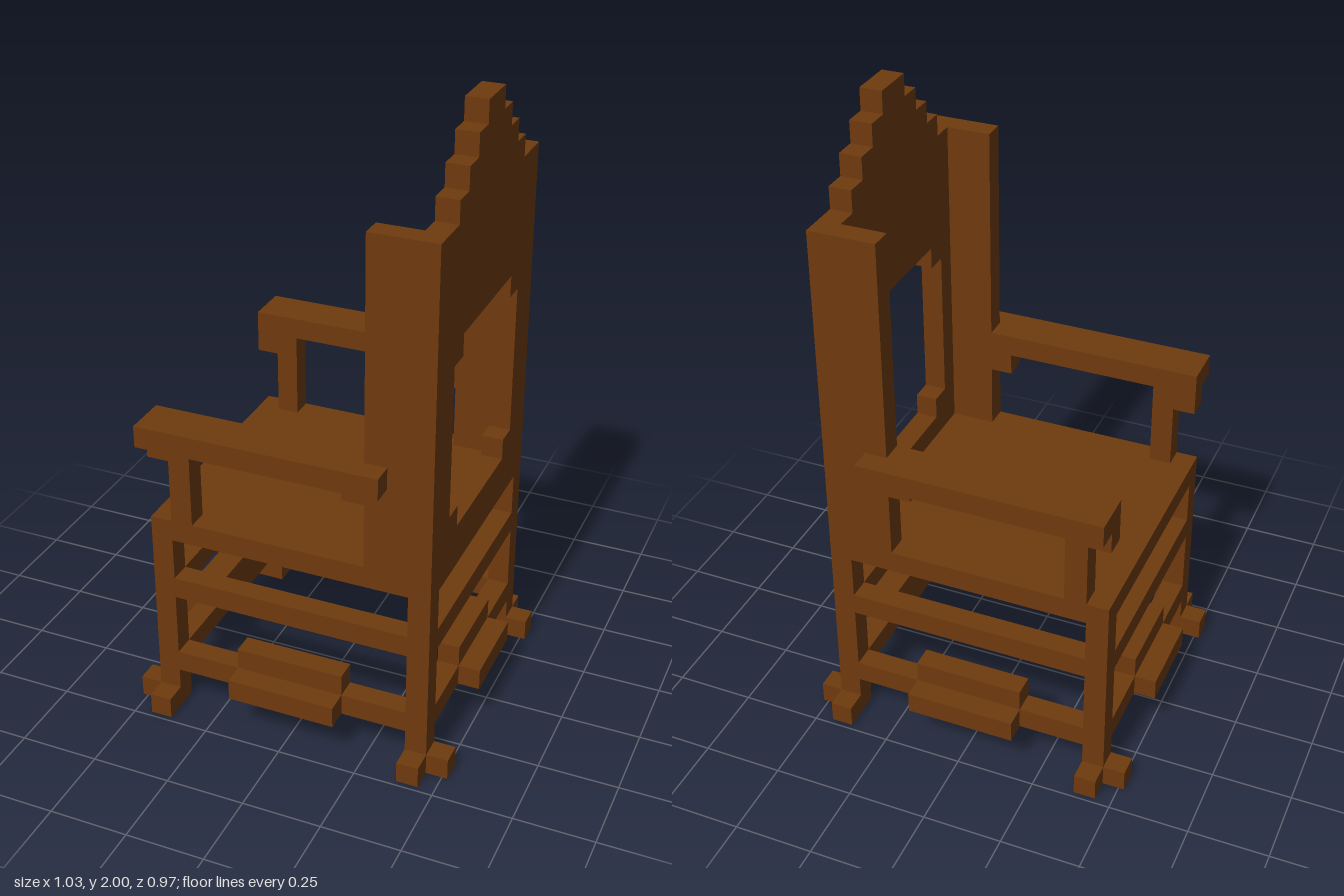
import * as THREE from 'three';

// One block of the model's grid; the chair is 29 blocks tall.
const U = 2 / 29;

export function createModel() {
  const chair = new THREE.Group();
  chair.name = 'chair';
  const wood = new THREE.MeshStandardMaterial({ color: 0x6f3a0e });
  wood.name = 'brown wood';

  // Box given by its limits in grid blocks.
  function box(name, x0, x1, y0, y1, z0, z1) {
    const g = new THREE.BoxGeometry((x1 - x0) * U, (y1 - y0) * U, (z1 - z0) * U);
    const m = new THREE.Mesh(g, wood);
    m.name = name;
    m.position.set((x0 + x1) / 2 * U, (y0 + y1) / 2 * U, (z0 + z1) / 2 * U);
    chair.add(m);
  }
  // Same box, placed on the +z side (s = 1) or mirrored to -z (s = -1).
  function sideBox(name, s, x0, x1, y0, y1, z0, z1) {
    box(name, x0, x1, y0, y1, Math.min(s * z0, s * z1), Math.max(s * z0, s * z1));
  }
  function endBox(name, s, x0, x1, y0, y1, z0, z1) {
    box(name, Math.min(s * x0, s * x1), Math.max(s * x0, s * x1), y0, y1, z0, z1);
  }

  // Seat
  box('seat', -6.5, 6.5, 9, 10, -6, 6);

  // Legs, each with two toes
  for (const sx of [-1, 1]) {
    for (const sz of [-1, 1]) {
      const z0 = sz > 0 ? 5 : -6;
      const x0 = sx > 0 ? 5.5 : -6.5;
      box('leg', x0, x0 + 1, 0, 9, z0, z0 + 1);
      endBox('outerToe', sx, 6.5, 7.5, 0, 1, z0, z0 + 1);
      sideBox('sideToe', sz, x0, x0 + 1, 0, 1, 6, 7);
    }
  }

  // Stretchers on all four sides, with a stepped block on each lower one
  for (const s of [-1, 1]) {
    for (const y of [2, 6]) {
      sideBox('sideStretcher', s, -5.5, 5.5, y, y + 1, 5, 6);
      endBox('endStretcher', s, 5.5, 6.5, y, y + 1, -5, 5);
    }
    sideBox('sideUpperStep', s, -2.5, 2.5, 3, 4, 5, 6);
    sideBox('sideLowerStep', s, -2.5, 2.5, 2, 3, 6, 7);
    endBox('endUpperStep', s, 5.5, 6.5, 3, 4, -2, 2);
    endBox('endLowerStep', s, 6.5, 7.5, 2, 3, -2, 2);
  }

  // Armrests, their posts and brackets, and the wings of the back
  for (const s of [-1, 1]) {
    sideBox('armrestInner', s, -6.5, 3.5, 14, 15, 5, 6);
    sideBox('armrestOuter', s, -6.5, 4.5, 14, 15, 6, 7);
    sideBox('armPost', s, -5.5, -4.5, 10, 14, 5, 6);
    sideBox('frontBracket', s, -6.5, -5.5, 13, 14, 5, 6);
    sideBox('rearBracket', s, 2.5, 3.5, 13, 14, 5, 6);
    sideBox('backWing', s, 3.5, 5.5, 10, 25, 5, 6);
  }

  // Back panel: stepped crest and a notched opening
  const outline = [[6, 10], [6, 25]];
  for (let i = 4; i >= 1; i--) outline.push([i, 29 - i], [i, 30 - i]);
  const half = outline.map(([a, b]) => new THREE.Vector2(a * U, b * U));
  const other = half.map((p) => new THREE.Vector2(-p.x, p.y)).reverse();
  const shape = new THREE.Shape([...half, ...other]);
  const hole = [[3, 11], [3, 12], [4, 12], [4, 19], [3, 19], [3, 20]]
    .map(([a, b]) => new THREE.Vector2(a * U, b * U));
  const holeOther = hole.map((p) => new THREE.Vector2(-p.x, p.y)).reverse();
  shape.holes.push(new THREE.Path([...hole, ...holeOther]));
  const geo = new THREE.ExtrudeGeometry(shape, { depth: U, bevelEnabled: false });
  geo.rotateY(Math.PI / 2);
  const back = new THREE.Mesh(geo, wood);
  back.name = 'backPanel';
  back.position.x = 5.5 * U;
  chair.add(back);

  return chair;
}
